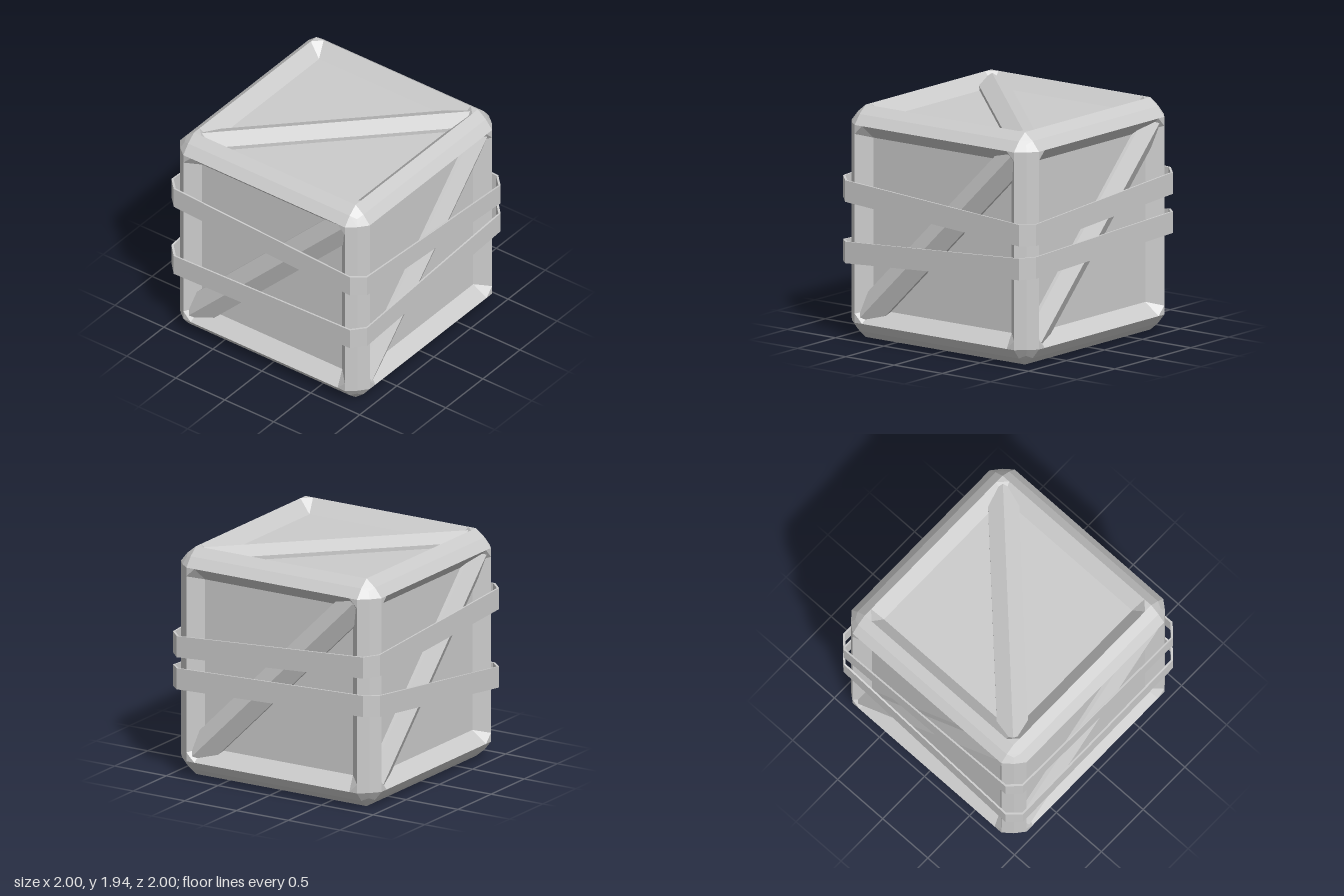
import * as THREE from 'three';
import { ConvexGeometry } from 'three/addons/geometries/ConvexGeometry.js';

const material = new THREE.MeshStandardMaterial({ color: 0xcccccc, flatShading: true });
const HALF = 0.97;    // half size of the crate
const LIP = 0.825;    // where the frame's crest lies
const INNER = 0.715;  // where the frame meets the panel
const PANEL = 0.86;   // distance of the panels from the centre

function add(parent, name, geometry) {
  const mesh = new THREE.Mesh(geometry, material);
  mesh.name = name;
  parent.add(mesh);
  return mesh;
}

// Prism along z, centred on the origin
function prism(points, length) {
  const shape = new THREE.Shape(points.map(([x, y]) => new THREE.Vector2(x, y)));
  const geometry = new THREE.ExtrudeGeometry(shape, { depth: length, bevelEnabled: false });
  return geometry.translate(0, 0, -length / 2);
}

// Faceted block joining three beams at the (+,+,+) corner, mirrored by signs
function cornerGeometry(sx, sy, sz) {
  const seeds = [
    [LIP, LIP, HALF], [LIP, 0.75, HALF], [0.75, LIP, HALF],
    [0.905, 0.905, LIP], [INNER, INNER, PANEL],
  ];
  const points = [new THREE.Vector3(0.88 * sx, 0.88 * sy, 0.88 * sz)];
  for (const [a, b, c] of seeds) {
    for (const [x, y, z] of [[a, b, c], [b, c, a], [c, a, b]]) {
      points.push(new THREE.Vector3(x * sx, y * sy, z * sz));
    }
  }
  return new ConvexGeometry(points);
}

// Closed thin band around the crate; heights are given for the corners
// front left-hand (-x), front (+x), back (+x), back (-x)
function strapGeometry([frontA, frontB, backB, backA]) {
  const outline = (r, cut) => [
    [-r + cut, r], [r - cut, r], [r, r - cut], [r, -r + cut],
    [r - cut, -r], [-r + cut, -r], [-r, -r + cut], [-r, r - cut],
  ];
  const height = (x, z) => {
    const u = (x + 1) / 2, v = (z + 1) / 2;
    return (1 - v) * (backA * (1 - u) + backB * u) + v * (frontA * (1 - u) + frontB * u);
  };
  const outer = outline(1, 0.1), inner = outline(0.985, 0.096);
  const position = [], index = [];
  for (let i = 0; i < 8; i++) {
    const [x, z] = outer[i], [ix, iz] = inner[i];
    const y = height(x, z) - HALF;
    position.push(x, y - 0.09, z, x, y + 0.09, z, ix, y + 0.09, iz, ix, y - 0.09, iz);
    for (let k = 0; k < 4; k++) {
      const a = i * 4 + k, b = i * 4 + (k + 1) % 4;
      const c = ((i + 1) % 8) * 4 + k, d = ((i + 1) % 8) * 4 + (k + 1) % 4;
      index.push(a, c, b, b, c, d);
    }
  }
  const geometry = new THREE.BufferGeometry();
  geometry.setAttribute('position', new THREE.Float32BufferAttribute(position, 3));
  geometry.setIndex(index);
  const flat = geometry.toNonIndexed();
  flat.computeVertexNormals();
  return flat;
}

export function createModel() {
  const model = new THREE.Group();
  model.name = 'crate';
  const crate = new THREE.Group();
  crate.name = 'crateBody';
  crate.position.y = HALF;
  model.add(crate);

  // Recessed panels
  add(crate, 'panels', new THREE.BoxGeometry(2 * PANEL, 2 * PANEL, 2 * PANEL));

  // Twelve frame beams, four along each axis
  const beam = prism([
    [HALF, LIP], [0.905, 0.905], [LIP, HALF],
    [INNER, PANEL], [INNER, INNER], [PANEL, INNER],
  ], 2 * LIP);
  for (const [rx, ry] of [[0, 0], [Math.PI / 2, 0], [0, Math.PI / 2]]) {
    const beams = new THREE.Group();
    beams.name = 'frameBeams';
    beams.rotation.set(rx, ry, 0);
    crate.add(beams);
    for (let i = 0; i < 4; i++) add(beams, 'frameBeam', beam).rotation.z = i * Math.PI / 2;
  }

  // Corner blocks
  for (const sx of [-1, 1]) for (const sy of [-1, 1]) for (const sz of [-1, 1]) {
    add(crate, 'cornerBlock', cornerGeometry(sx, sy, sz));
  }

  // One ridged diagonal brace on each face
  const brace = prism([[-0.127, 0.8], [0.127, 0.8], [0.127, 0.892], [0, 0.957], [-0.127, 0.892]], 2.2);
  brace.rotateX(Math.PI / 2);  // section height to +z, length along y
  brace.rotateZ(-Math.PI / 4); // lower left to upper right
  for (let i = 0; i < 4; i++) add(crate, 'diagonalBrace', brace).rotation.y = i * Math.PI / 2;
  for (const s of [-1, 1]) add(crate, 'diagonalBrace', brace).rotation.x = s * Math.PI / 2;

  // Two slanting straps
  add(crate, 'upperStrap', strapGeometry([1.355, 1.245, 1.11, 1.24]));
  add(crate, 'lowerStrap', strapGeometry([0.67, 0.72, 0.84, 0.91]));

  return model;
}
